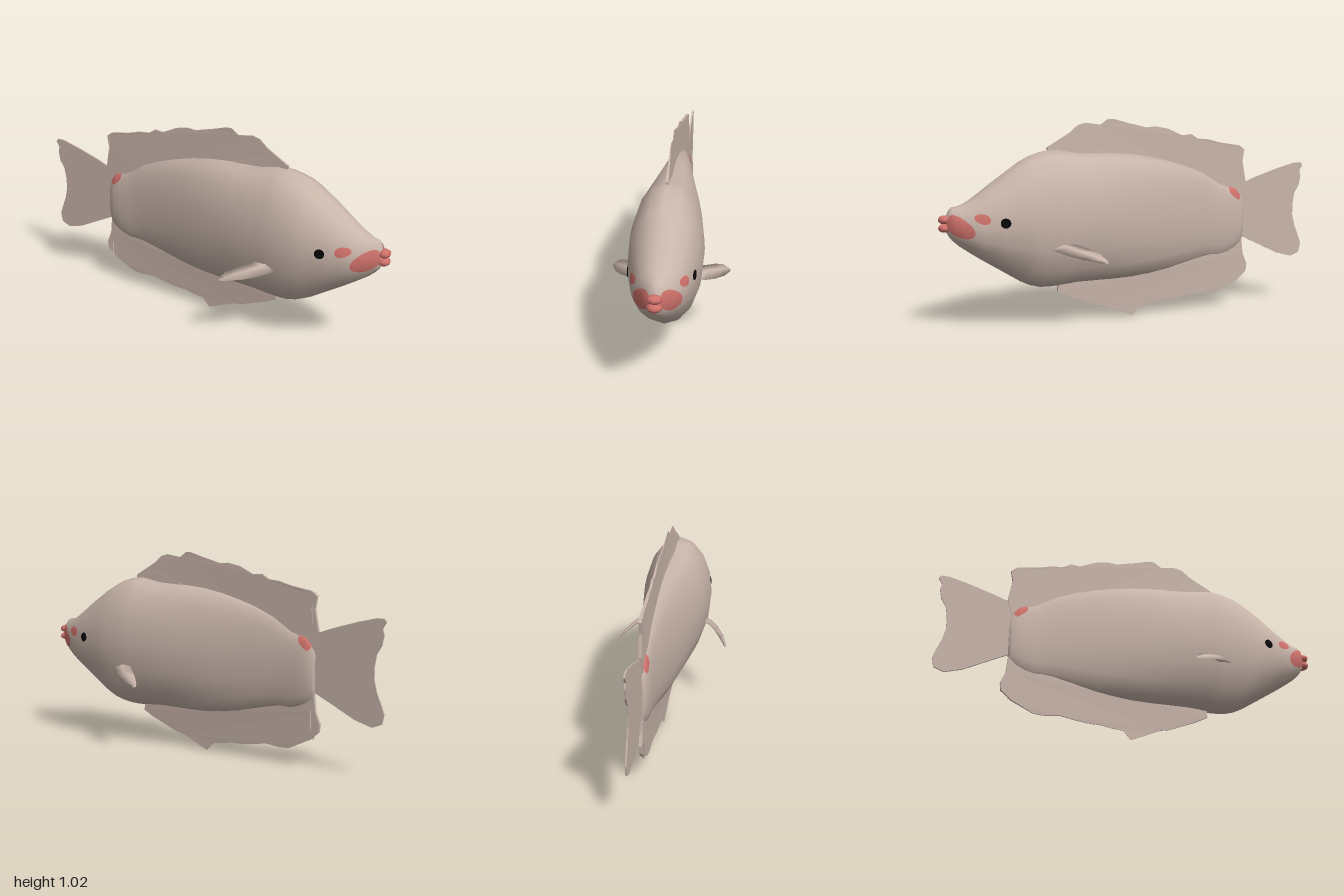
import * as THREE from 'three';

const skin = new THREE.MeshStandardMaterial({ color: 0xc9b5aa, name: 'skin', side: THREE.DoubleSide });
const red = new THREE.MeshStandardMaterial({ color: 0xd0726b, name: 'red', side: THREE.DoubleSide });
const black = new THREE.MeshStandardMaterial({ color: 0x080808, name: 'black', side: THREE.DoubleSide });

// Body stations: x, top y, bottom y, half width
const stations = [
  [-0.635, 0.57, 0.37, 0.014], [-0.62, 0.61, 0.345, 0.024], [-0.59, 0.645, 0.32, 0.032],
  [-0.55, 0.66, 0.30, 0.035], [-0.5, 0.678, 0.287, 0.037], [-0.45, 0.71, 0.288, 0.039],
  [-0.4, 0.74, 0.282, 0.046], [-0.3, 0.78, 0.26, 0.06], [-0.2, 0.81, 0.236, 0.077],
  [-0.1, 0.834, 0.22, 0.097], [0, 0.852, 0.21, 0.116], [0.1, 0.862, 0.207, 0.134],
  [0.2, 0.865, 0.208, 0.151], [0.3, 0.87, 0.208, 0.166], [0.4, 0.888, 0.2, 0.175],
  [0.45, 0.886, 0.198, 0.177], [0.5, 0.876, 0.2, 0.177], [0.55, 0.86, 0.214, 0.175],
  [0.6, 0.835, 0.238, 0.17], [0.7, 0.766, 0.302, 0.152], [0.8, 0.692, 0.366, 0.124],
  [0.85, 0.658, 0.4, 0.104], [0.9, 0.635, 0.436, 0.077], [0.935, 0.63, 0.468, 0.052],
  [0.95, 0.612, 0.488, 0.036], [0.962, 0.58, 0.51, 0.018],
];

function sectionAt(x) {
  let i = 0;
  while (i < stations.length - 2 && stations[i + 1][0] < x) i++;
  const a = stations[i], b = stations[i + 1];
  const t = THREE.MathUtils.clamp((x - a[0]) / (b[0] - a[0]), 0, 1);
  const [, top, bottom, half] = a.map((v, k) => v + (b[k] - v) * t);
  return { mid: (top + bottom) / 2, ry: (top - bottom) / 2, rz: half };
}

// Closed skin over a row of equal-sized rings, capped at both ends
function loft(rings) {
  const n = rings[0].length, pos = rings.flat(2), index = [];
  for (let i = 0; i < rings.length - 1; i++) {
    for (let j = 0; j < n; j++) {
      const a = i * n + j, b = i * n + (j + 1) % n;
      index.push(a, b, a + n, b, b + n, a + n);
    }
  }
  const last = (rings.length - 1) * n;
  for (let j = 1; j < n - 1; j++) index.push(0, j + 1, j, last, last + j, last + j + 1);
  const g = new THREE.BufferGeometry();
  g.setAttribute('position', new THREE.Float32BufferAttribute(pos, 3));
  g.setIndex(index);
  g.computeVertexNormals();
  return g;
}

// Thin plate from an outline, tapering away from the body's midline
function finPlate(outline, maxHalf) {
  const shape = new THREE.Shape(outline.map(([x, y]) => new THREE.Vector2(x, y)));
  const g = new THREE.ExtrudeGeometry(shape, { depth: 2, bevelEnabled: false }).translate(0, 0, -1);
  const p = g.attributes.position;
  for (let i = 0; i < p.count; i++) {
    const d = Math.abs(p.getY(i) - 0.53);
    p.setZ(i, p.getZ(i) * THREE.MathUtils.clamp(0.027 * (1 - d / 0.5), 0.0015, maxHalf));
  }
  g.computeVertexNormals();
  return g;
}

// Painted patch that hugs the flank
function flankPatch(outline, side) {
  const curve = new THREE.CatmullRomCurve3(outline.map(([x, y]) => new THREE.Vector3(x, y, 0)), true);
  const edge = curve.getPoints(32).slice(0, 32);
  const c = edge.reduce((s, p) => s.add(p), new THREE.Vector3()).divideScalar(32);
  const pos = [], index = [], rings = 10;
  for (let r = 0; r <= rings; r++) {
    for (let j = 0; j < 32; j++) {
      const p = c.clone().lerp(edge[j], r / rings);
      const { mid, ry, rz } = sectionAt(p.x);
      const k = THREE.MathUtils.clamp((p.y - mid) / ry, -0.99, 0.99);
      pos.push(p.x + 0.001, mid + k * ry, side * (rz * Math.sqrt(1 - k * k) + 0.004));
      if (r < rings) {
        const a = r * 32 + j, b = r * 32 + (j + 1) % 32;
        if (side > 0) index.push(a, a + 32, b, b, a + 32, b + 32);
        else index.push(a, b, a + 32, b, b + 32, a + 32);
      }
    }
  }
  const g = new THREE.BufferGeometry();
  g.setAttribute('position', new THREE.Float32BufferAttribute(pos, 3));
  g.setIndex(index);
  g.computeVertexNormals();
  return g;
}

export function createModel() {
  const fish = new THREE.Group();
  fish.name = 'fish';
  const add = (name, geometry, material) => {
    const m = new THREE.Mesh(geometry, material);
    m.name = name;
    fish.add(m);
    return m;
  };

  // Body with sixteen-sided oval sections
  add('body', loft(stations.map(([x]) => {
    const { mid, ry, rz } = sectionAt(x);
    return Array.from({ length: 16 }, (_, j) => {
      const a = j / 16 * Math.PI * 2;
      return [x, mid + ry * Math.cos(a), rz * Math.sin(a)];
    });
  })), skin);

  // Fins on the midline
  add('dorsalFin', finPlate([
    [0.45, 0.87], [0.45, 0.9], [0.38, 0.94], [0.33, 0.97], [0.29, 1.005], [0.25, 1.015], [0.17, 1.003],
    [0.13, 1.03], [0.1, 1.03], [0.03, 1.01], [-0.08, 0.982], [-0.13, 0.986], [-0.2, 0.972], [-0.28, 0.935],
    [-0.33, 0.94], [-0.37, 0.915], [-0.43, 0.91], [-0.5, 0.89], [-0.61, 0.872], [-0.64, 0.85],
    [-0.63, 0.79], [-0.65, 0.68], [-0.62, 0.58], [-0.55, 0.58], [-0.4, 0.68], [0, 0.81], [0.3, 0.84],
  ], 0.008), skin);
  add('analFin', finPlate([
    [0.4, 0.23], [0.407, 0.17], [0.35, 0.14], [0.3, 0.12], [0.2, 0.08], [0.15, 0.07], [0, 0.005], [-0.04, 0.05],
    [-0.1, 0.055], [-0.15, 0.066], [-0.22, 0.068], [-0.3, 0.08], [-0.36, 0.092], [-0.45, 0.083],
    [-0.5, 0.09], [-0.56, 0.12], [-0.61, 0.145], [-0.66, 0.19], [-0.665, 0.23], [-0.64, 0.29],
    [-0.63, 0.38], [-0.58, 0.38], [-0.45, 0.33], [0, 0.25],
  ], 0.008), skin);
  add('tailFin', finPlate([
    [-0.6, 0.64], [-0.65, 0.675], [-0.72, 0.7], [-0.85, 0.74], [-0.95, 0.765], [-0.99, 0.765], [-1, 0.75],
    [-0.982, 0.72], [-0.99, 0.69], [-0.98, 0.64], [-0.955, 0.6], [-0.945, 0.54], [-0.945, 0.48],
    [-0.96, 0.42], [-0.985, 0.36], [-1, 0.32], [-0.99, 0.27], [-0.94, 0.25], [-0.85, 0.275],
    [-0.77, 0.315], [-0.64, 0.378], [-0.6, 0.4],
  ], 0.004), skin);

  // Small folds at the rear edges of the upper and lower fins
  for (const [name, y, tilt] of [['upperFold', 0.79, 0.06], ['lowerFold', 0.22, -0.1]]) {
    const fold = add(name, new THREE.CircleGeometry(1, 6).scale(0.014, 0.085, 1), skin);
    fold.position.set(-0.622, y, 0);
    fold.rotation.set(0, 1.1, tilt);
  }

  // Lips
  for (const [name, y] of [['upperLip', 0.571], ['lowerLip', 0.53]]) {
    const lip = add(name, new THREE.SphereGeometry(1, 8, 6).scale(0.029, 0.021, 0.036), red);
    lip.position.set(0.971, y, 0);
  }

  for (const side of [1, -1]) {
    const label = side > 0 ? 'right' : 'left';

    // Pectoral fin: front edge and rear edge from base to tip
    const blade = [
      [[0.49, 0.42, 0.15], [0.38, 0.44, 0.145], 0.012],
      [[0.47, 0.412, 0.185], [0.35, 0.433, 0.19], 0.011],
      [[0.42, 0.395, 0.23], [0.315, 0.422, 0.22], 0.009],
      [[0.35, 0.377, 0.268], [0.27, 0.4, 0.255], 0.007],
      [[0.27, 0.36, 0.292], [0.242, 0.37, 0.28], 0.003],
      [[0.245, 0.356, 0.296], [0.237, 0.358, 0.29], 0.001],
    ];
    const rings = blade.map(([f, r, t]) => {
      const m = f.map((v, k) => (v + r[k]) / 2);
      const ring = [f, [m[0], m[1] + t, m[2] + t * 0.6], r, [m[0], m[1] - t, m[2] - t * 0.6]]
        .map(([x, y, z]) => [x, y, z * side]);
      return side > 0 ? ring : ring.reverse();
    });
    add(label + 'PectoralFin', loft(rings), skin);

    // Painted eye and blush patches
    const disc = Array.from({ length: 8 }, (_, i) => [
      0.705 + 0.024 * Math.cos(i * Math.PI / 4), 0.56 + 0.024 * Math.sin(i * Math.PI / 4)]);
    add(label + 'Eye', flankPatch(disc, side), black);
    add(label + 'MouthBlush', flankPatch([
      [0.843, 0.51], [0.86, 0.488], [0.9, 0.486], [0.935, 0.503], [0.96, 0.53], [0.96, 0.565],
      [0.943, 0.597], [0.915, 0.593], [0.87, 0.56], [0.85, 0.535]], side), red);
    add(label + 'CheekBlush', flankPatch([
      [0.772, 0.575], [0.785, 0.556], [0.815, 0.558], [0.845, 0.58], [0.838, 0.598],
      [0.81, 0.604], [0.785, 0.598]], side), red);
    add(label + 'TailBlush', flankPatch([
      [-0.618, 0.605], [-0.605, 0.585], [-0.58, 0.598], [-0.553, 0.625], [-0.552, 0.655],
      [-0.58, 0.66], [-0.6, 0.64]], side), red);
  }
  return fish;
}
